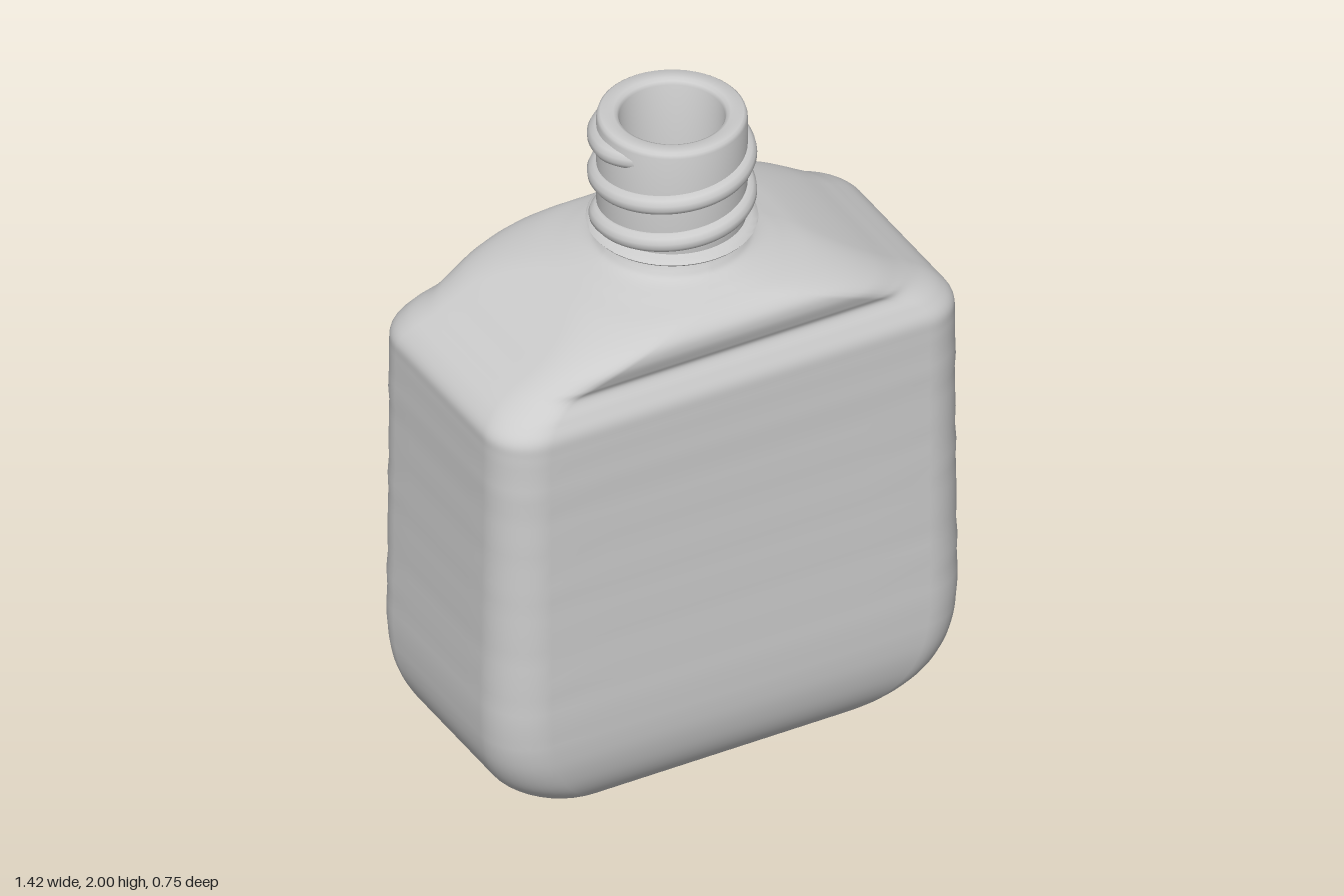
import * as THREE from 'three';
import { toCreasedNormals } from 'three/addons/utils/BufferGeometryUtils.js';

const ARC = 10, FLAT = 6, RINGS = 150, NECK_Y = 1.64;

// Body sections: half width, height, half depth, corner roundness (1 = fully round)
const SECTIONS = [
  [0.002, 0, 0.002, 0.6], [0.1, 0.014, 0.06, 0.6], [0.23, 0.03, 0.125, 0.6],
  [0.4, 0.052, 0.2, 0.55], [0.5, 0.085, 0.258, 0.5], [0.585, 0.135, 0.308, 0.46],
  [0.65, 0.2, 0.343, 0.42], [0.69, 0.28, 0.364, 0.4], [0.708, 0.38, 0.373, 0.38],
  [0.708, 0.7, 0.372, 0.37], [0.704, 1.05, 0.37, 0.36], [0.703, 1.3, 0.37, 0.36],
  [0.7, 1.35, 0.368, 0.37], [0.668, 1.39, 0.35, 0.38], [0.605, 1.43, 0.329, 0.4],
  [0.56, 1.455, 0.338, 0.42], [0.49, 1.495, 0.35, 0.46], [0.42, 1.53, 0.345, 0.55],
  [0.35, 1.56, 0.315, 0.7], [0.28, 1.583, 0.262, 0.88], [0.215, 1.606, 0.212, 0.97],
  [0.2, 1.625, 0.2, 0.98], [0.193, NECK_Y, 0.193, 0.98],
];

const sizeCurve = new THREE.CatmullRomCurve3(
  SECTIONS.map(([w, y, d]) => new THREE.Vector3(w, y, d)));
const roundCurve = new THREE.CatmullRomCurve3(
  SECTIONS.map(([, , , f], i) => new THREE.Vector3(f, i, 0)));

// Outline of a rounded rectangle as [x, z] pairs
function roundedRing(w, d, f) {
  const r = f * Math.min(w, d), ring = [];
  const corners = [[1, 1], [-1, 1], [-1, -1], [1, -1]];
  corners.forEach(([sx, sz], q) => {
    const cx = sx * (w - r), cz = sz * (d - r);
    for (let i = 0; i <= ARC; i++) {
      const a = (q + i / ARC) * Math.PI / 2;
      ring.push([cx + r * Math.cos(a), cz + r * Math.sin(a)]);
    }
    // flat side on to the next corner
    const [x0, z0] = ring[ring.length - 1];
    const [nx, nz] = corners[(q + 1) % 4], e = (q + 1) * Math.PI / 2;
    const x1 = nx * (w - r) + r * Math.cos(e), z1 = nz * (d - r) + r * Math.sin(e);
    for (let i = 1; i < FLAT; i++) {
      ring.push([x0 + (x1 - x0) * i / FLAT, z0 + (z1 - z0) * i / FLAT]);
    }
  });
  return ring;
}

// Skin the sections; a wall thickness above zero gives the inward-facing lining
function loftBody(wall) {
  const pos = [], idx = [];
  let n = 0;
  for (let k = 0; k <= RINGS; k++) {
    const p = sizeCurve.getPoint(k / RINGS), f = roundCurve.getPoint(k / RINGS).x;
    // faint horizontal ripples on the straight walls
    const fade = THREE.MathUtils.smoothstep(p.y, 0.2, 0.5) * (1 - THREE.MathUtils.smoothstep(p.y, 1.15, 1.33));
    const ripple = 0.0018 * fade * Math.sin(p.y * 52) * Math.sin(p.y * 9);
    const w = Math.max(0.002, p.x - wall + ripple), d = Math.max(0.002, p.z - wall + ripple);
    const y = Math.max(0, p.y + wall * (1 - p.y / NECK_Y));
    const ring = roundedRing(w, d, Math.min(f, 0.98));
    n = ring.length;
    ring.forEach(([x, z]) => pos.push(x, y, z));
  }
  for (let k = 0; k < RINGS; k++) {
    for (let i = 0; i < n; i++) {
      const a = k * n + i, b = k * n + (i + 1) % n;
      if (wall > 0) idx.push(a, b, a + n, b, b + n, a + n);
      else idx.push(a, a + n, b, b, a + n, b + n);
    }
  }
  const geo = new THREE.BufferGeometry();
  geo.setAttribute('position', new THREE.Float32BufferAttribute(pos, 3));
  geo.setIndex(idx);
  geo.computeVertexNormals();
  return geo;
}

function lathe(points) {
  const geo = new THREE.LatheGeometry(points.map(([r, y]) => new THREE.Vector2(r, y)), 72);
  return toCreasedNormals(geo, 0.7);
}

// Screw thread: a rising helix whose ends sink into the neck
class ThreadCurve extends THREE.Curve {
  getPoint(t, target = new THREE.Vector3()) {
    const start = -2.85 * Math.PI, end = 1.75 * Math.PI;
    const a = start + (end - start) * t;
    const sink = 1 - THREE.MathUtils.smoothstep(Math.min(t, 1 - t), 0, 0.06);
    const r = 0.196 - 0.032 * sink;
    return target.set(r * Math.sin(a), 1.85 + 0.12 * a / (2 * Math.PI), r * Math.cos(a));
  }
}

export function createModel() {
  const group = new THREE.Group();
  const material = new THREE.MeshStandardMaterial({ color: 0xcccccc });
  const add = (name, geo) => {
    const mesh = new THREE.Mesh(geo, material);
    mesh.name = name;
    group.add(mesh);
  };

  add('body', loftBody(0));
  add('bodyLining', loftBody(0.055));

  // Neck tube with softened rim, outside up and inside down
  add('neck', lathe([
    [0.193, 1.63], [0.198, 1.68], [0.2, 1.7], [0.2, 1.985], [0.197, 1.995], [0.19, 2],
    [0.155, 2], [0.145, 1.995], [0.14, 1.985], [0.138, 1.62],
  ]));

  // Thin flange below the thread
  add('neckFlange', lathe([
    [0.19, 1.645], [0.21, 1.652], [0.224, 1.657], [0.228, 1.662], [0.224, 1.667], [0.21, 1.672], [0.19, 1.68],
  ]));

  add('screwThread', new THREE.TubeGeometry(new ThreadCurve(), 220, 0.029, 12, false));
  return group;
}
